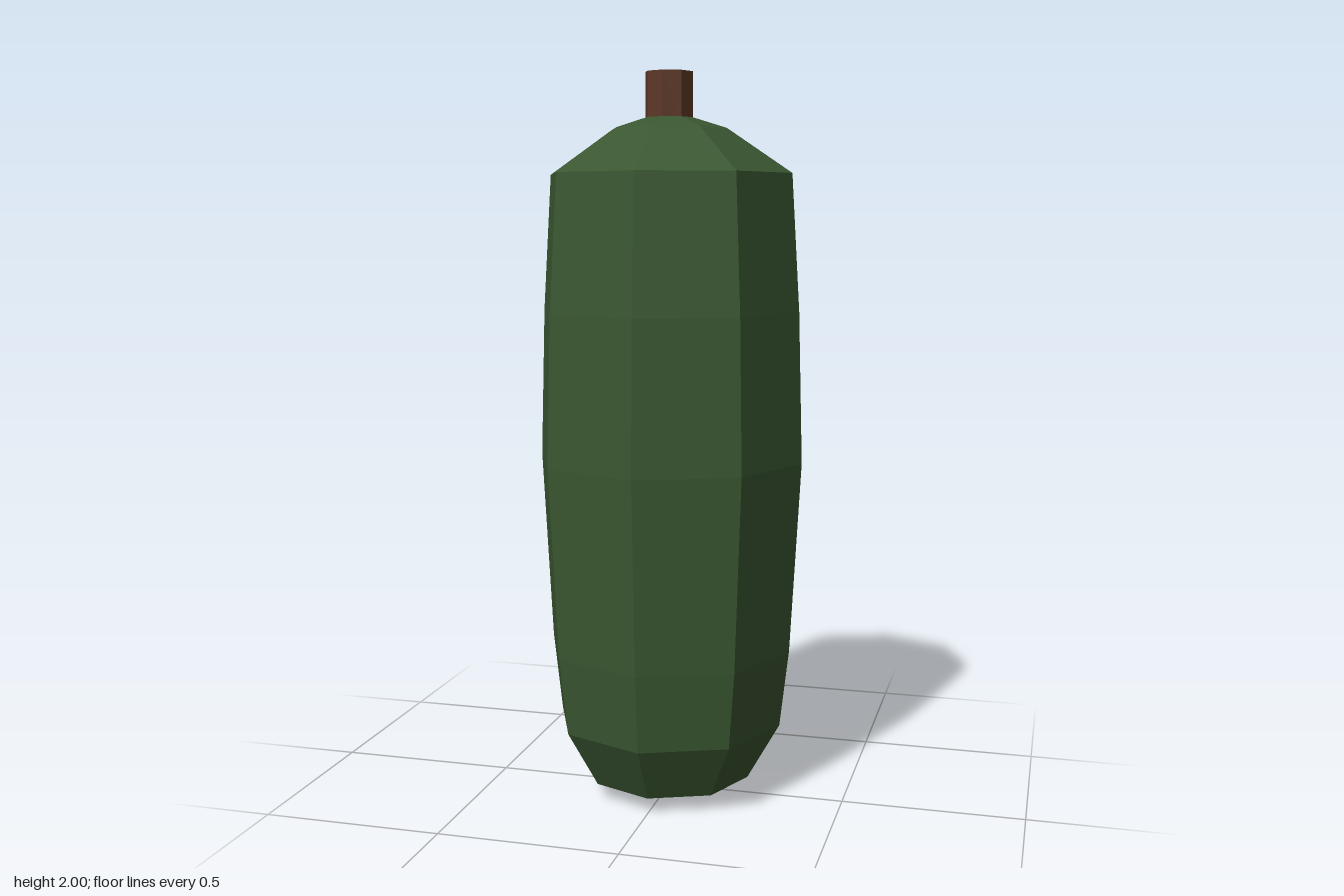
import * as THREE from 'three';

const SIDES = 8;

// Revolve a [radius, height] profile, bottom to top, into a faceted solid
function facetedLathe(profile) {
  const points = profile.map(([r, y]) => new THREE.Vector2(r, y));
  const geometry = new THREE.LatheGeometry(points, SIDES).toNonIndexed();
  geometry.computeVertexNormals();
  return geometry;
}

function addPart(group, name, profile, material) {
  const mesh = new THREE.Mesh(facetedLathe(profile), material);
  mesh.name = name;
  group.add(mesh);
}

export function createModel() {
  const group = new THREE.Group();
  group.name = 'vegetable';

  const skin = new THREE.MeshStandardMaterial({ color: 0x3a5731 });
  skin.name = 'dark green skin';
  const wood = new THREE.MeshStandardMaterial({ color: 0x5d3726 });
  wood.name = 'brown stem';

  // Long body, widest just below the middle
  addPart(group, 'body', [
    [0, 0],
    [0.23, 0.045],
    [0.32, 0.205],
    [0.345, 0.42],
    [0.374, 0.95],
    [0.362, 1.36],
    [0.339, 1.73],
    [0.16, 1.85],
    [0, 1.9],
  ], skin);

  // Short stem, sunk into the crown
  addPart(group, 'stem', [
    [0, 1.85],
    [0.066, 1.85],
    [0.066, 2],
    [0, 2],
  ], wood);

  return group;
}
